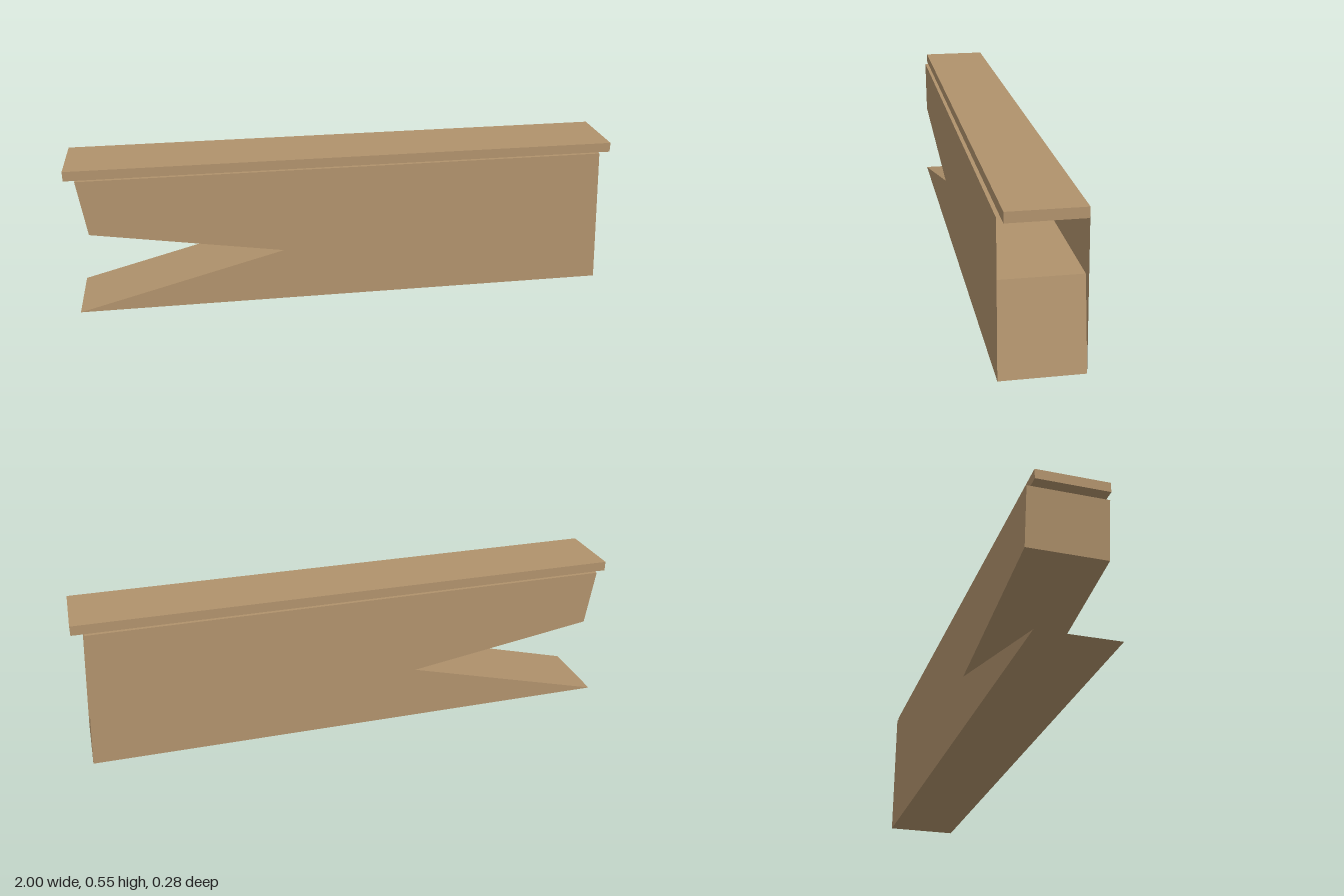
import * as THREE from 'three';

const HALF = 0.138; // half the beam's depth
const BODY_TOP = 0.515;

function shapeFrom(points) {
  return new THREE.Shape(points.map(([x, y]) => new THREE.Vector2(x, y)));
}

export function createModel() {
  const group = new THREE.Group();
  group.name = 'notchedBeam';

  const tan = new THREE.MeshStandardMaterial({ color: 0xb0926c, side: THREE.DoubleSide });
  tan.name = 'tan wood';

  const add = (name, geometry, x = 0, y = 0, z = 0) => {
    const mesh = new THREE.Mesh(geometry, tan);
    mesh.name = name;
    mesh.position.set(x, y, z);
    group.add(mesh);
  };

  // Right-hand pocket, from the foot of the end face up to the beam's top
  const pocket = [[0.985, 0], [0.93, 0.308], [0.24, 0.308], [0.955, BODY_TOP]];

  // Beam with an open V notch on one end and a pocket in the other
  const profile = shapeFrom([
    [-0.99, 0], ...pocket, [-0.96, BODY_TOP], [-0.93, 0.31], [-0.235, 0.2],
  ]);
  add('beam', new THREE.ExtrudeGeometry(profile, { depth: 2 * HALF, bevelEnabled: false }), 0, 0, -HALF);

  // Thin cheeks that close the pocket on both sides
  for (const side of [-1, 1]) {
    const cheek = new THREE.ShapeGeometry(shapeFrom(pocket));
    if (side < 0) {
      // turn the face outward to the back
      cheek.index.array.reverse();
      cheek.attributes.normal.array.forEach((n, i, a) => { a[i] = -n; });
    }
    add(side > 0 ? 'frontCheek' : 'backCheek', cheek, 0, 0, side * HALF);
  }

  // Narrower, longer cap board
  add('cap', new THREE.BoxGeometry(2, 0.035, 0.25), 0, BODY_TOP + 0.0175, 0);

  return group;
}
